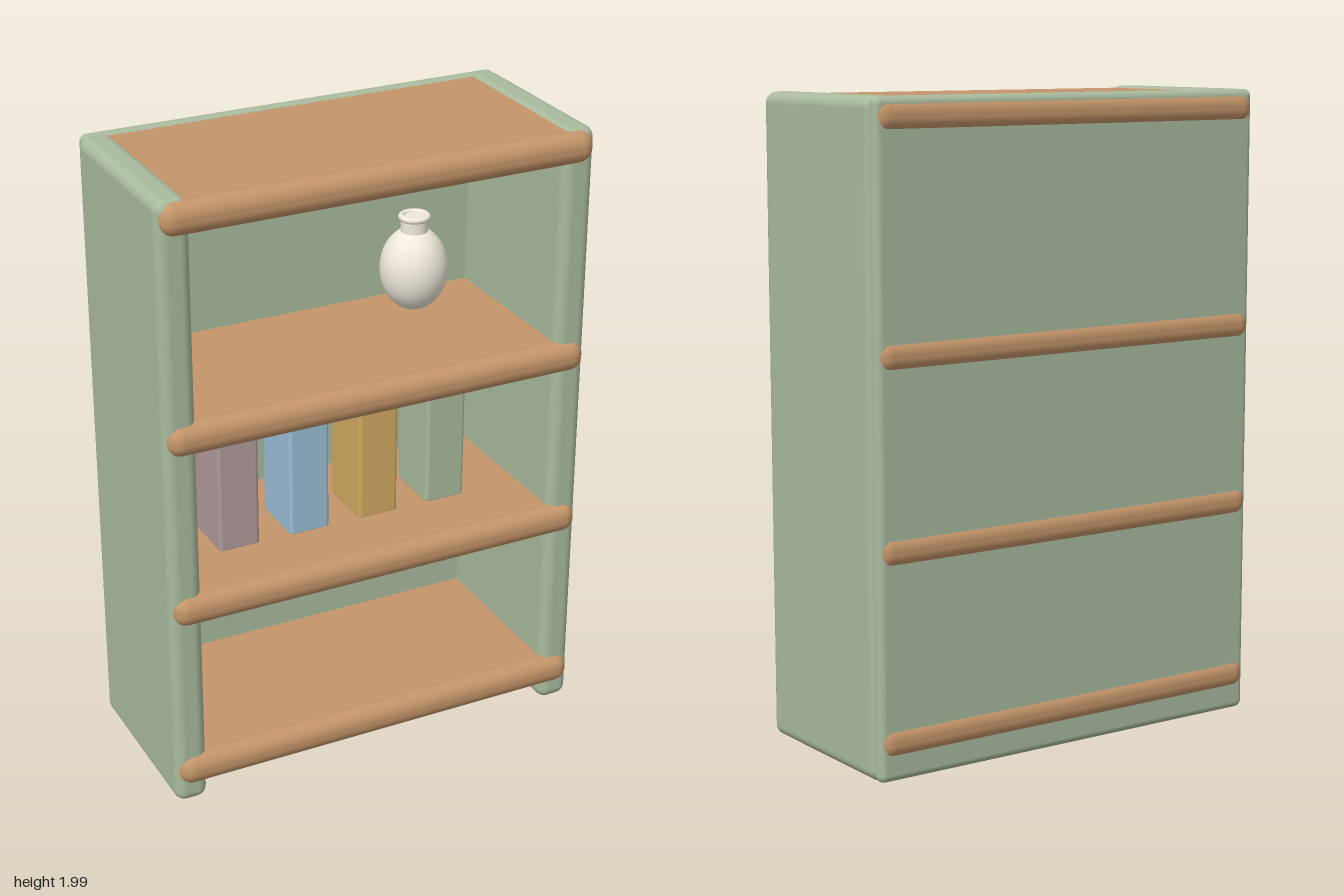
import * as THREE from 'three';
import { RoundedBoxGeometry } from 'three/addons/geometries/RoundedBoxGeometry.js';

const paint = (color) => new THREE.MeshStandardMaterial({ color });

export function createModel() {
  const group = new THREE.Group();
  const green = paint(0xa9ba9d), wood = paint(0xc4956a), cream = paint(0xf0eadc);

  const add = (parent, name, geometry, material, x, y, z) => {
    const mesh = new THREE.Mesh(geometry, material);
    mesh.name = name;
    mesh.position.set(x, y, z);
    parent.add(mesh);
    return mesh;
  };
  const softBox = (w, h, d, r) => new RoundedBoxGeometry(w, h, d, 5, r);

  // Side panels and back panel
  for (const [name, s] of [['leftSide', 1], ['rightSide', -1]]) {
    add(group, name, softBox(0.105, 1.995, 0.61, 0.035), green, s * 0.65, 1, 0);
  }
  add(group, 'backPanel', softBox(1.385, 1.995, 0.05, 0.023), green, 0, 1, -0.298);

  // Shelves with full round edges, slightly deeper than the sides
  [0.12, 0.69, 1.26, 1.94].forEach((y, i) => {
    add(group, `shelf${i + 1}`, softBox(1.385, 0.1, 0.665, 0.045), wood, 0, y, -0.002);
  });

  // Books standing on the second shelf
  const books = new THREE.Group();
  books.name = 'books';
  [0xb09a9a, 0x9bbdd6, 0xd1a95f, 0xa9ba9d].forEach((color, i) => {
    add(books, `book${i + 1}`, softBox(0.135, 0.39, 0.2, 0.012), paint(color), -0.385 + i * 0.239, 0.927, 0);
  });
  group.add(books);

  // Vase: egg-shaped body, neck and rolled rim
  const vase = new THREE.Group();
  vase.name = 'vase';
  vase.position.set(0.265, 1.51, -0.01);
  add(vase, 'vaseBody', new THREE.SphereGeometry(0.106, 40, 28), cream, 0, 0, 0).scale.y = 1.26;
  add(vase, 'vaseNeck', new THREE.CylinderGeometry(0.042, 0.042, 0.06, 32), cream, 0, 0.14, 0);
  add(vase, 'vaseRim', new THREE.TorusGeometry(0.04, 0.01, 12, 36), cream, 0, 0.168, 0).rotation.x = Math.PI / 2;
  group.add(vase);

  return group;
}
